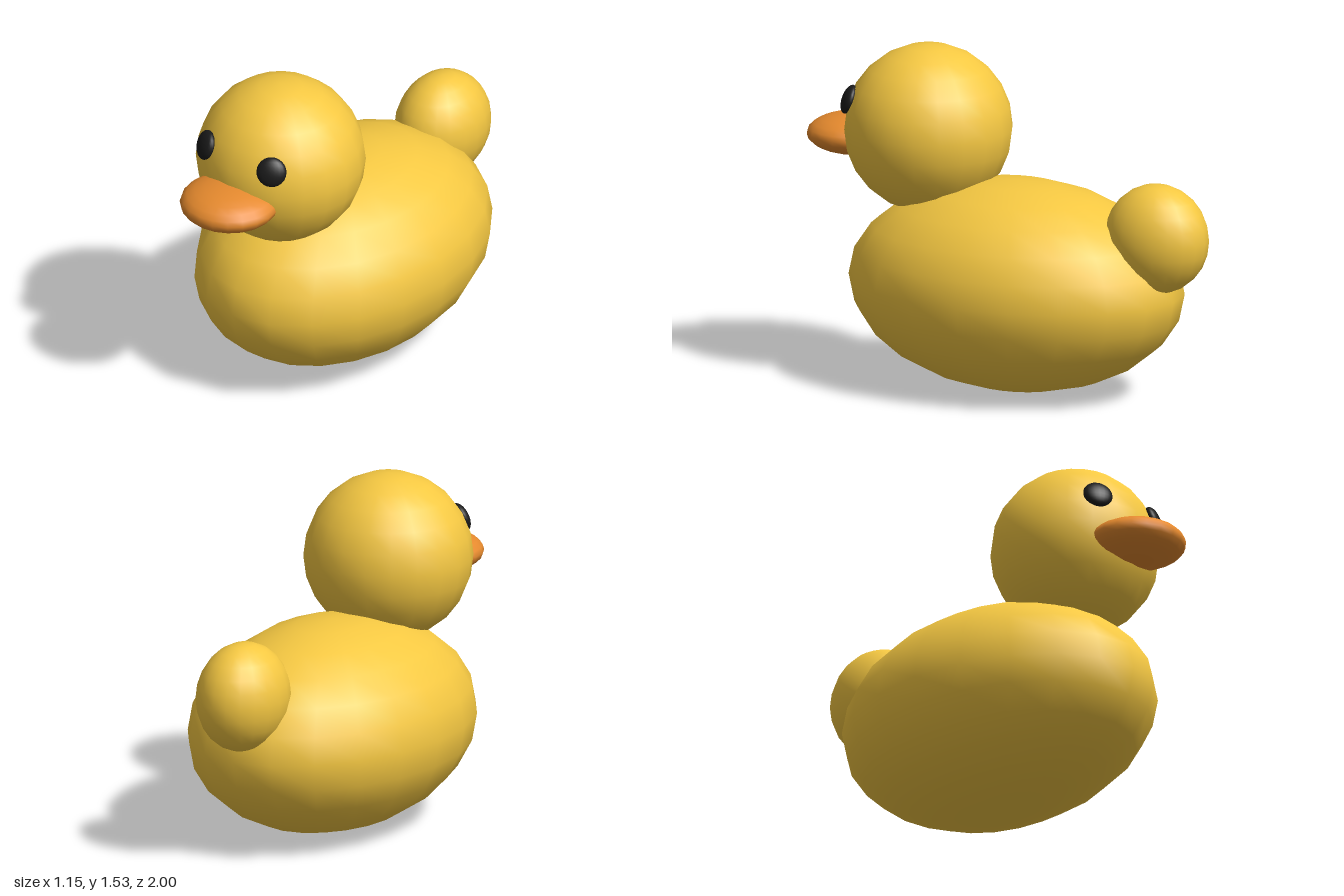
import * as THREE from 'three';

const paint = (color) => new THREE.MeshStandardMaterial({ color });

// Ellipsoid with its own centre and radii
function ellipsoid(name, material, [x, y, z], radii, columns = 20, rows = 12) {
  const geometry = new THREE.SphereGeometry(1, columns, rows);
  geometry.scale(...radii);
  const mesh = new THREE.Mesh(geometry, material);
  mesh.name = name;
  mesh.position.set(x, y, z);
  return mesh;
}

export function createModel() {
  const yellow = paint(0xf5c842);
  const orange = paint(0xe68a2e);
  const black = paint(0x1a1a1a);
  const duck = new THREE.Group();
  duck.name = 'duck';

  // Body, head and tail
  const headCentre = new THREE.Vector3(0, 1.152, 0.41);
  duck.add(
    ellipsoid('body', yellow, [0, 0.482, -0.04], [0.575, 0.479, 0.8]),
    ellipsoid('head', yellow, headCentre.toArray(), [0.383, 0.383, 0.38]),
    ellipsoid('tail', yellow, [0, 0.77, -0.755], [0.2, 0.25, 0.245]),
  );

  // Flat, wide beak
  duck.add(ellipsoid('beak', orange, [0, 1.087, 0.78], [0.225, 0.092, 0.22]));

  // Flattened eyes, each facing straight out from the head
  for (const [name, side] of [['leftEye', 1], ['rightEye', -1]]) {
    const eye = ellipsoid(name, black, [side * 0.188, 1.285, 0.713], [0.068, 0.068, 0.032]);
    const outward = eye.position.clone().sub(headCentre);
    eye.lookAt(eye.position.clone().add(outward));
    duck.add(eye);
  }

  return duck;
}
